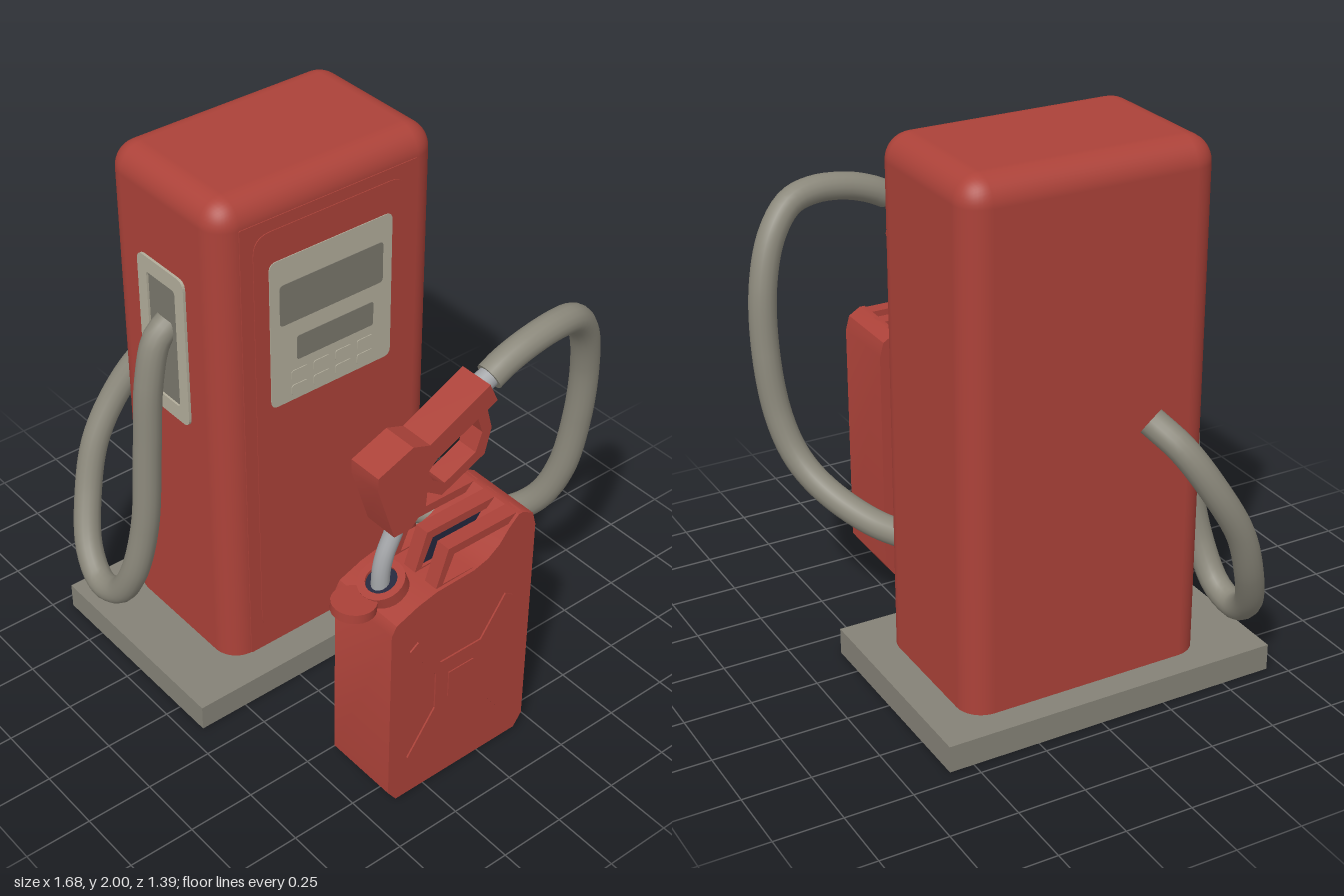
import * as THREE from 'three';
import { RoundedBoxGeometry } from 'three/addons/geometries/RoundedBoxGeometry.js';
import { toCreasedNormals } from 'three/addons/utils/BufferGeometryUtils.js';

const material = (name, color) => {
  const m = new THREE.MeshStandardMaterial({ color });
  m.name = name;
  return m;
};

const v2 = ([a, b]) => new THREE.Vector2(a, b);
const v3 = (p) => new THREE.Vector3(...p);

// Rounded rectangle centred on the origin, as a shape or a hole
function roundRect(w, h, r, Type = THREE.Shape) {
  const x = w / 2, y = h / 2, s = new Type();
  s.moveTo(-x + r, -y).lineTo(x - r, -y).quadraticCurveTo(x, -y, x, -y + r);
  s.lineTo(x, y - r).quadraticCurveTo(x, y, x - r, y);
  s.lineTo(-x + r, y).quadraticCurveTo(-x, y, -x, y - r);
  s.lineTo(-x, -y + r).quadraticCurveTo(-x, -y, -x + r, -y);
  return s;
}

const extrude = (shape, depth) =>
  new THREE.ExtrudeGeometry(shape, { depth, bevelEnabled: false, curveSegments: 6 });

// Profile drawn in (z, y), given a width along x and centred on x = cx
function sideExtrude(points, width, cx, hole) {
  const shape = new THREE.Shape(points.map(v2));
  if (hole) shape.holes.push(new THREE.Path(hole.map(v2)));
  const g = extrude(shape, width).translate(0, 0, -width / 2).rotateY(-Math.PI / 2).translate(cx, 0, 0);
  return toCreasedNormals(g, 0.6);
}

export function createModel() {
  const model = new THREE.Group();
  model.name = 'fuelPump';
  const red = material('red paint', 0xac4239);
  const concrete = material('concrete', 0x858277);
  const rubber = material('hose rubber', 0x8b887b);
  const beige = material('beige plate', 0xb2ad9b);
  const screen = material('screen grey', 0x7a776c);
  const steel = material('steel', 0xa3a5a8);
  const navy = material('dark navy', 0x24263c);

  const add = (name, geometry, mat, parent = model) => {
    const mesh = new THREE.Mesh(geometry, mat);
    mesh.name = name;
    parent.add(mesh);
    return mesh;
  };

  // Plinth and cabinet
  add('plinth', new THREE.BoxGeometry(0.84, 0.1, 1.28).translate(-0.28, 0.05, 0.05), concrete);
  add('cabinet', new RoundedBoxGeometry(0.62, 1.995, 0.93, 5, 0.095).translate(-0.29, 1.0025, 0.005), red);

  // Plates on the left (+x) side of the cabinet, from z0..z1 and y0..y1, ending at x1
  const sidePlate = (name, z0, z1, y0, y1, r, x1, mat, depth = 0.008) => add(name,
    extrude(roundRect(z1 - z0, y1 - y0, r), depth).rotateY(Math.PI / 2)
      .translate(x1 - depth, (y0 + y1) / 2, (z0 + z1) / 2), mat);
  sidePlate('sidePanel', -0.36, 0.38, 0.1, 1.905, 0.005, 0.023, red);
  sidePlate('innerPanel', -0.31, 0.33, 0.18, 1.86, 0.07, 0.026, red);
  sidePlate('displayPlate', -0.25, 0.27, 1.16, 1.74, 0.03, 0.029, beige);
  sidePlate('upperScreen', -0.21, 0.23, 1.48, 1.64, 0.015, 0.031, screen);
  sidePlate('lowerScreen', -0.17, 0.16, 1.32, 1.415, 0.01, 0.031, screen);
  for (let row = 0; row < 2; row++) {
    for (let col = 0; col < 4; col++) {
      const z = -0.17 + col * 0.095, y = 1.18 + row * 0.06;
      sidePlate('button', z, z + 0.07, y, y + 0.042, 0.01, 0.032, beige);
    }
  }

  // Nozzle holder on the front
  const frame = roundRect(0.26, 0.59, 0.035);
  frame.holes.push(roundRect(0.16, 0.47, 0.015, THREE.Path));
  add('holderFrame', extrude(frame, 0.02).translate(-0.29, 1.365, 0.46), beige);
  add('holderRecess', extrude(roundRect(0.17, 0.48, 0.015), 0.004).translate(-0.29, 1.365, 0.468), screen);

  // Hoses with closed ends
  const tube = (name, points, radius, mat, segments = 72) => {
    const curve = new THREE.CatmullRomCurve3(points.map(v3));
    const group = new THREE.Group();
    group.name = name;
    model.add(group);
    add(name + 'Tube', new THREE.TubeGeometry(curve, segments, radius, 16), mat, group);
    for (const t of [0, 1]) {
      const cap = add(name + 'End', new THREE.CircleGeometry(radius, 16), mat, group);
      const out = curve.getTangent(t).multiplyScalar(t ? 1 : -1);
      cap.position.copy(curve.getPoint(t));
      cap.quaternion.setFromUnitVectors(new THREE.Vector3(0, 0, 1), out);
    }
  };
  tube('frontHose', [
    [-0.29, 1.43, 0.45], [-0.292, 1.38, 0.505], [-0.295, 1.22, 0.545], [-0.3, 0.95, 0.565],
    [-0.31, 0.6, 0.59], [-0.355, 0.36, 0.625], [-0.44, 0.23, 0.64], [-0.55, 0.2, 0.645],
    [-0.66, 0.28, 0.62], [-0.745, 0.45, 0.555], [-0.783, 0.65, 0.48], [-0.775, 0.84, 0.37],
    [-0.72, 0.99, 0.275], [-0.625, 1.07, 0.21]], 0.051, rubber);
  tube('fillingHose', [
    [0.0, 0.44, -0.29], [0.2, 0.46, -0.415], [0.38, 0.54, -0.52], [0.48, 0.64, -0.58],
    [0.54, 0.79, -0.62], [0.575, 1.03, -0.643], [0.6, 1.28, -0.63], [0.63, 1.45, -0.575],
    [0.66, 1.545, -0.49], [0.677, 1.57, -0.39], [0.685, 1.56, -0.26], [0.685, 1.53, -0.16],
    [0.685, 1.5, -0.1]], 0.051, rubber);

  // Filling nozzle
  const nx = 0.685;
  tube('nozzleCollar', [[nx, 1.515, -0.13], [nx, 1.495, -0.08], [nx, 1.475, -0.03]], 0.038, steel, 6);
  add('nozzleBody', sideExtrude([
    [0.41, 1.33], [0.34, 1.11], [0.27, 1.11], [0.21, 1.17], [0.2, 1.31], [0.17, 1.34],
    [-0.08, 1.455], [-0.045, 1.53], [0.2, 1.41], [0.27, 1.435], [0.41, 1.38]], 0.13, nx), red);
  add('triggerGuard', sideExtrude([
    [0.205, 1.26], [0.185, 1.2], [0.12, 1.155], [-0.06, 1.235], [-0.085, 1.33], [-0.05, 1.46],
    [-0.01, 1.43], [-0.045, 1.33], [-0.02, 1.26], [0.11, 1.2], [0.16, 1.235], [0.2, 1.3]], 0.08, nx), red);
  add('trigger', sideExtrude([
    [0.2, 1.3], [0.16, 1.31], [0.03, 1.375], [0.02, 1.41], [0.17, 1.35]], 0.04, nx), steel);
  tube('spout', [[nx, 1.15, 0.26], [nx, 1.08, 0.28], [nx, 0.99, 0.32], [nx, 0.93, 0.335], [nx, 0.84, 0.34]],
    0.031, steel, 20);

  // Fuel can
  const can = new THREE.Group();
  can.name = 'fuelCan';
  model.add(can);
  add('canBody', sideExtrude([
    [0.41, 0.055], [0.375, 0.005], [-0.175, 0.005], [-0.21, 0.055], [-0.21, 0.93], [-0.195, 0.985],
    [-0.15, 1.012], [-0.13, 1.012], [-0.09, 0.975], [-0.05, 0.925], [0, 0.89], [0.06, 0.873],
    [0.22, 0.868], [0.3, 0.85], [0.39, 0.815], [0.41, 0.78]], 0.29, nx), red, can);

  // Three carrying handles, the middle one closed with a dark web
  const hole = [[0.14, 0.98], [0.185, 0.875], [-0.06, 0.875], [-0.11, 0.98]];
  for (const offset of [-0.105, 0, 0.105]) {
    add('canHandle', sideExtrude([
      [0.165, 1.012], [0.22, 0.85], [-0.15, 0.85], [-0.15, 1.012]], 0.055, nx + offset, hole), red, can);
  }
  add('handleWeb', sideExtrude(hole, 0.03, nx), navy, can);

  // Pressed cross on both broad sides
  for (const side of [-1, 1]) {
    const x = nx + side * 0.1465;
    add('crossPlate', new THREE.BoxGeometry(0.009, 0.235, 0.22).translate(x, 0.428, 0.105), red, can);
    add('crossCentre', new THREE.BoxGeometry(0.009, 0.11, 0.11).translate(x + side * 0.004, 0.425, 0.105), red, can);
    for (const sz of [-1, 1]) {
      for (const sy of [-1, 1]) {
        const arm = add('crossArm', new THREE.BoxGeometry(0.009, 0.26, 0.042), red, can);
        arm.position.set(x, 0.425 + sy * 0.15, 0.105 + sz * 0.135);
        arm.rotation.x = sy * sz * 0.61;
      }
    }
  }

  // Tilted filler neck and its open lid
  const neck = new THREE.Group();
  neck.name = 'fillerNeck';
  neck.position.set(nx, 0.86, 0.325);
  neck.rotation.x = 0.36;
  can.add(neck);
  const ring = [[0.055, -0.06], [0.082, -0.06], [0.082, 0.03], [0.055, 0.03], [0.055, -0.06]].map(v2);
  add('neckRing', toCreasedNormals(new THREE.LatheGeometry(ring, 24), 0.6), red, neck);
  add('neckOpening', new THREE.CylinderGeometry(0.056, 0.056, 0.07, 24).translate(0, -0.015, 0), navy, neck);
  const lid = add('canLid', new THREE.CylinderGeometry(0.077, 0.077, 0.035, 24), red, can);
  lid.position.set(nx, 0.843, 0.45);
  lid.rotation.x = -0.06;
  add('lidHinge', new THREE.BoxGeometry(0.05, 0.03, 0.06).translate(nx, 0.835, 0.39), red, can);

  return model;
}
